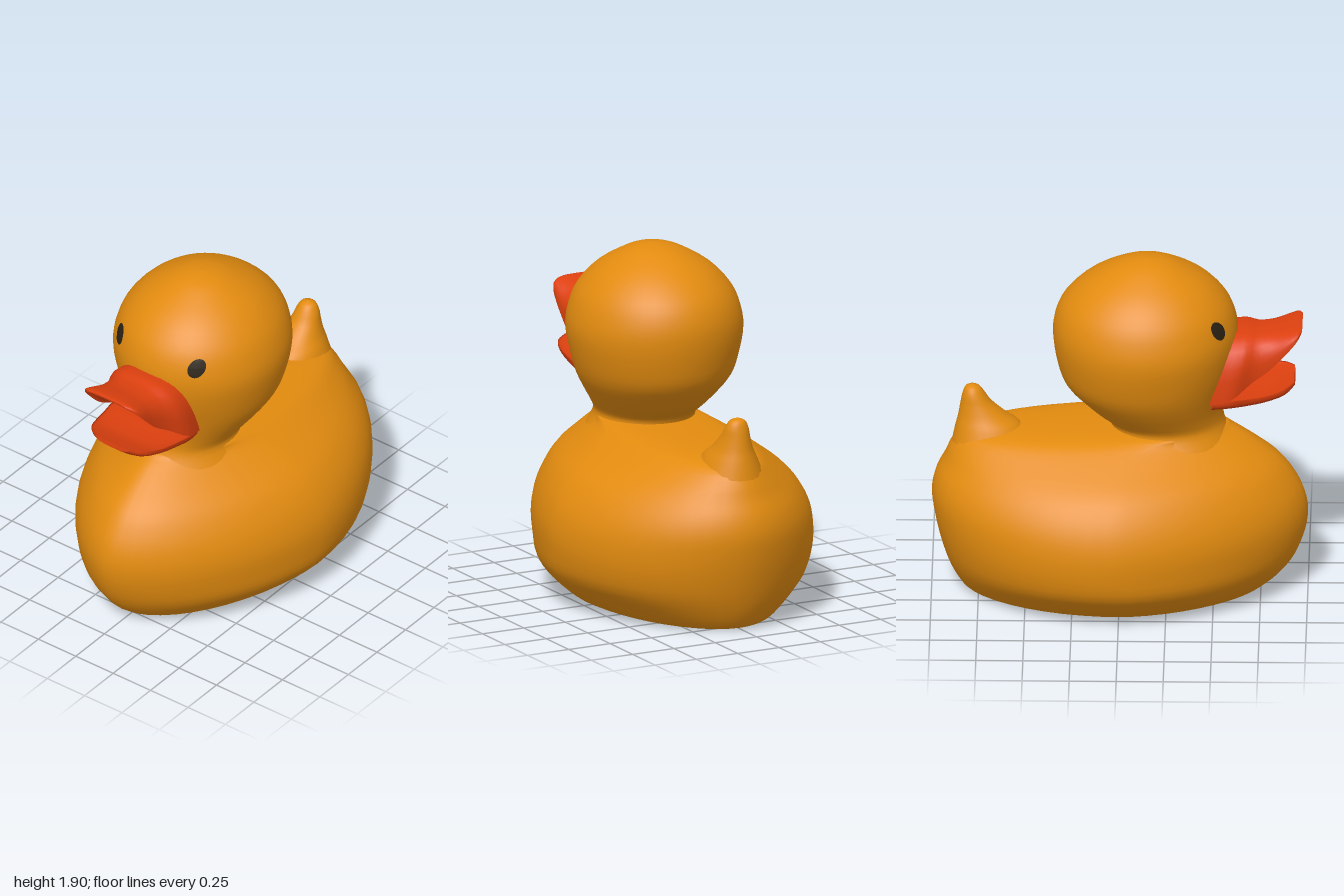
import * as THREE from 'three';

const skin = new THREE.MeshStandardMaterial({ name: 'golden yellow', color: 0xe28b0f });
const orange = new THREE.MeshStandardMaterial({ name: 'beak orange red', color: 0xdc400f });
const dark = new THREE.MeshStandardMaterial({ name: 'eye dark', color: 0x2a2114 });

// Closed surface through a list of rings, with flat caps
function loft(rings) {
  const n = rings[0].length, pos = [], idx = [];
  rings.forEach(r => r.forEach(p => pos.push(...p)));
  for (let i = 0; i < rings.length - 1; i++) {
    for (let j = 0; j < n; j++) {
      const a = i * n + j, b = i * n + (j + 1) % n;
      idx.push(a, a + n, b, b, a + n, b + n);
    }
  }
  [rings[0], rings[rings.length - 1]].forEach((ring, top) => {
    const s = pos.length / 3;
    ring.forEach(p => pos.push(...p));
    pos.push(...[0, 1, 2].map(k => ring.reduce((t, p) => t + p[k], 0) / n));
    for (let j = 0; j < n; j++) {
      const a = s + j, b = s + (j + 1) % n;
      idx.push(s + n, top ? b : a, top ? a : b);
    }
  });
  const g = new THREE.BufferGeometry();
  g.setAttribute('position', new THREE.Float32BufferAttribute(pos, 3));
  g.setIndex(idx);
  g.computeVertexNormals();
  return g;
}

// Rows of numbers interpolated smoothly, column by column
function refine(rows, steps) {
  const cols = rows[0].map((_, k) =>
    new THREE.SplineCurve(rows.map((r, i) => new THREE.Vector2(i, r[k]))));
  const count = (rows.length - 1) * steps;
  return Array.from({ length: count + 1 }, (_, i) => cols.map(c => c.getPoint(i / count).y));
}

const power = (v, e) => Math.sign(v) * Math.abs(v) ** e;

// Horizontal egg-shaped rings; rows are [y, half width, front z, back z, z of widest point]
function stack(rows, frontN = 2, backN = 2, seg = 48) {
  return loft(refine(rows, 3).map(([y, w, zf, zb, zc]) =>
    Array.from({ length: seg }, (_, j) => {
      const a = j / seg * Math.PI * 2, c = Math.cos(a), s = Math.sin(a);
      const e = 2 / (s > 0 ? frontN : backN);
      return [w * power(c, e), y, zc + (s > 0 ? zf - zc : zc - zb) * power(s, e)];
    })));
}

// Beak half; rows are [half width, rim z, rim y, outer z, outer y, inner z, inner y]
function beakHalf(rows, boxy) {
  const seg = 16;
  return refine(rows, 3).map(([w, rz, ry, oz, oy, iz, iy]) =>
    Array.from({ length: seg * 2 }, (_, j) => {
      const a = j / seg * Math.PI, outer = j <= seg, e = outer ? boxy : 0.8;
      const x = w * power(Math.cos(a), e), t = Math.abs(Math.sin(a)) ** e;
      return [x, ry + ((outer ? oy : iy) - ry) * t, rz + ((outer ? oz : iz) - rz) * t];
    }));
}

export function createModel() {
  const group = new THREE.Group();
  const add = (name, geometry, material) => {
    const mesh = new THREE.Mesh(geometry, material);
    mesh.name = name;
    group.add(mesh);
    return mesh;
  };

  // Plump body with a flat base
  add('body', stack([
    [0, 0.43, 0.75, -0.79, 0],
    [0.02, 0.49, 0.78, -0.84, 0],
    [0.1, 0.59, 0.87, -0.89, 0],
    [0.2, 0.68, 0.94, -0.93, -0.02],
    [0.32, 0.708, 0.985, -0.965, -0.05],
    [0.44, 0.71, 1.0, -0.99, -0.05],
    [0.55, 0.685, 0.98, -1.0, -0.05],
    [0.65, 0.635, 0.93, -0.98, -0.04],
    [0.74, 0.56, 0.86, -0.935, -0.02],
    [0.83, 0.44, 0.75, -0.895, 0],
    [0.9, 0.34, 0.65, -0.82, 0.05],
    [0.93, 0.295, 0.6, -0.5, 0.15],
    [0.95, 0.265, 0.565, -0.08, 0.25],
    [0.96, 0.22, 0.5, 0, 0.25],
  ], 1.65, 1.9), skin);

  // Head and neck
  const head = add('head', stack([
    [0.88, 0.3, 0.6, -0.07, 0.25],
    [0.96, 0.26, 0.56, -0.05, 0.25],
    [1.03, 0.3, 0.55, -0.13, 0.21],
    [1.1, 0.35, 0.555, -0.205, 0.18],
    [1.2, 0.41, 0.575, -0.295, 0.15],
    [1.32, 0.447, 0.61, -0.335, 0.14],
    [1.45, 0.468, 0.63, -0.355, 0.14],
    [1.56, 0.452, 0.62, -0.348, 0.14],
    [1.67, 0.405, 0.575, -0.3, 0.14],
    [1.78, 0.305, 0.47, -0.185, 0.14],
    [1.865, 0.165, 0.32, -0.03, 0.145],
    [1.895, 0.08, 0.235, 0.07, 0.15],
    [1.905, 0.003, 0.153, 0.147, 0.15],
  ]), skin);

  // Upturned tail
  add('tail', stack([
    [0.8, 0.19, -0.46, -0.9, -0.7],
    [0.92, 0.14, -0.52, -0.875, -0.7],
    [0.98, 0.105, -0.6, -0.86, -0.73],
    [1.05, 0.078, -0.68, -0.848, -0.76],
    [1.1, 0.064, -0.715, -0.838, -0.78],
    [1.14, 0.042, -0.745, -0.822, -0.785],
    [1.155, 0.003, -0.782, -0.788, -0.785],
  ], 2, 2, 24), skin);

  // Open beak
  add('upperBeak', loft(beakHalf([
    [0.24, 0.48, 1.15, 0.56, 1.5, 0.5, 1.17],
    [0.25, 0.59, 1.18, 0.67, 1.515, 0.6, 1.2],
    [0.205, 0.7, 1.262, 0.74, 1.505, 0.7, 1.31],
    [0.19, 0.8, 1.335, 0.82, 1.512, 0.8, 1.4],
    [0.188, 0.88, 1.42, 0.89, 1.53, 0.88, 1.475],
    [0.175, 0.94, 1.49, 0.947, 1.543, 0.94, 1.51],
    [0.12, 0.968, 1.525, 0.971, 1.54, 0.969, 1.53],
  ], 0.65).reverse()), orange);
  add('lowerBeak', loft(beakHalf([
    [0.24, 0.5, 1.16, 0.48, 1.08, 0.5, 1.15],
    [0.255, 0.59, 1.18, 0.56, 1.09, 0.6, 1.155],
    [0.24, 0.68, 1.185, 0.65, 1.1, 0.68, 1.155],
    [0.22, 0.78, 1.195, 0.77, 1.122, 0.78, 1.165],
    [0.185, 0.87, 1.215, 0.88, 1.155, 0.87, 1.195],
    [0.11, 0.928, 1.228, 0.932, 1.195, 0.928, 1.218],
  ], 0.75)), orange);

  // Eyes: discs laid onto the head surface
  const ray = new THREE.Raycaster();
  for (const side of [1, -1]) {
    const disc = new THREE.RingGeometry(0.001, 1, 24, 4);
    disc.scale(0.038, 0.051, 1).translate(side * 0.256, 1.592, 0);
    const p = disc.attributes.position;
    for (let i = 0; i < p.count; i++) {
      ray.set(new THREE.Vector3(p.getX(i), p.getY(i), 2), new THREE.Vector3(0, 0, -1));
      const hit = ray.intersectObject(head)[0];
      p.setZ(i, (hit ? hit.point.z : 0.52) + 0.007);
    }
    disc.computeVertexNormals();
    add(side > 0 ? 'leftEye' : 'rightEye', disc, dark);
  }
  return group;
}
